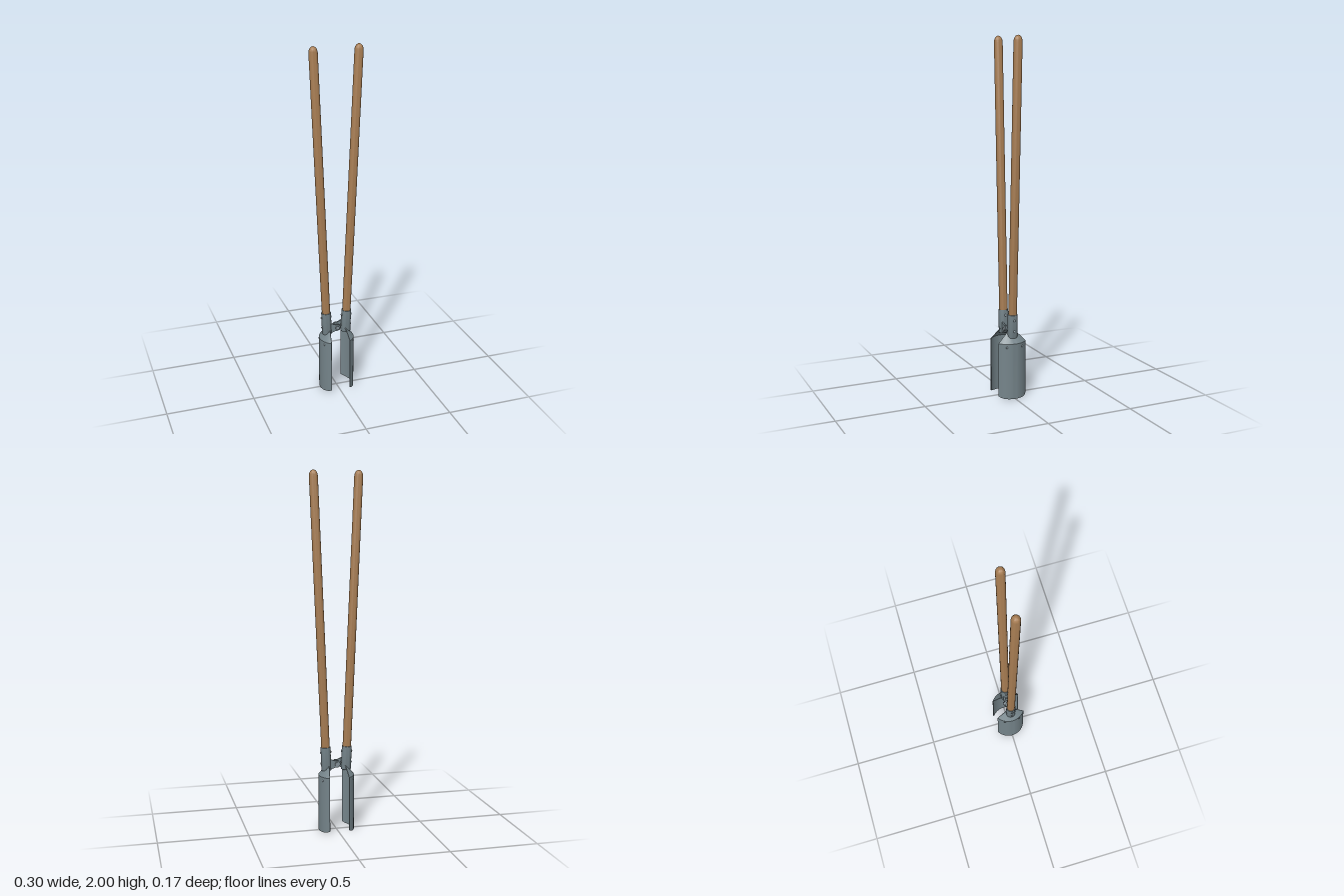
import * as THREE from 'three';
import { toCreasedNormals } from 'three/addons/utils/BufferGeometryUtils.js';

const wood = new THREE.MeshStandardMaterial({ color: 0xa67c52 });
wood.name = 'wood';
const steel = new THREE.MeshStandardMaterial({ color: 0x75848a });
steel.name = 'steel';
const boltSteel = new THREE.MeshStandardMaterial({ color: 0x859198 });
boltSteel.name = 'boltSteel';

function add(parent, name, geometry, material, x = 0, y = 0, z = 0) {
  const mesh = new THREE.Mesh(geometry, material);
  mesh.name = name;
  mesh.position.set(x, y, z);
  parent.add(mesh);
  return mesh;
}

function lathe(points, segments = 24) {
  const g = new THREE.LatheGeometry(points.map(([r, y]) => new THREE.Vector2(r, y)), segments);
  return toCreasedNormals(g, 0.6);
}

// Curved sheet: each row is an arc about the y axis { y, radius, half angle, lift at the corners }
function curvedSheet(rows, thickness, n = 20) {
  const loops = rows.map(({ y, r, half, lift }) => {
    const arc = (radius) => Array.from({ length: n + 1 }, (_, i) => {
      const t = (i / n) * 2 - 1, a = t * half;
      return [Math.cos(a) * radius, y + lift * t ** 4, Math.sin(a) * radius];
    });
    return [...arc(r), ...arc(r - thickness).reverse()];
  });
  const pos = loops.flat(2), index = [], m = 2 * (n + 1);
  const quad = (a, b, c, d) => index.push(a, b, c, a, c, d);
  for (let k = 0; k < rows.length - 1; k++) {
    for (let i = 0; i < m; i++) {
      const j = (i + 1) % m;
      quad(k * m + i, (k + 1) * m + i, (k + 1) * m + j, k * m + j);
    }
  }
  const top = (rows.length - 1) * m;
  for (let i = 0; i < n; i++) {
    const p = m - 1 - i;
    quad(i, i + 1, p - 1, p);
    quad(top + i, top + p, top + p - 1, top + i + 1);
  }
  const g = new THREE.BufferGeometry();
  g.setAttribute('position', new THREE.Float32BufferAttribute(pos, 3));
  g.setIndex(index);
  return toCreasedNormals(g, 0.5);
}

// Domed rivet whose axis points along +x, turned about y
function rivet(parent, name, x, y, z, turn, size = 0.006) {
  const g = new THREE.SphereGeometry(size, 12, 6, 0, Math.PI * 2, 0, Math.PI / 2);
  g.scale(1, 0.75, 1);
  g.rotateZ(-Math.PI / 2);
  g.rotateY(turn);
  add(parent, name, g, boltSteel, x, y, z);
}

function createHalf() {
  const half = new THREE.Group();

  // Blade with its tapering shoulder
  add(half, 'blade', curvedSheet([
    { y: 0, r: 0.1, half: 0.98, lift: 0.012 },
    { y: 0.318, r: 0.1, half: 0.98, lift: 0 },
    { y: 0.372, r: 0.056, half: 0.55, lift: 0 },
  ], 0.004), steel);
  for (const s of [-1, 1]) {
    rivet(half, 'bladeRivet', Math.cos(0.48) * 0.099, 0.298, -s * Math.sin(0.48) * 0.099, s * 0.48);
  }

  // Leaning shaft: socket and handle share one axis
  const shaft = new THREE.Group();
  shaft.name = 'shaft';
  shaft.position.set(0.056, 0.346, 0);
  shaft.rotation.z = -0.0425;
  half.add(shaft);

  add(shaft, 'socket', lathe([
    [0.0235, 0], [0.0275, 0], [0.0285, 0.004], [0.0275, 0.132], [0.0235, 0.132], [0.0235, 0],
  ]), steel);

  const profile = [[0, 0.03], [0.0235, 0.03], [0.024, 0.5], [0.024, 1.62]];
  for (let i = 1; i <= 6; i++) {
    const a = (i / 6) * Math.PI / 2;
    profile.push([i === 6 ? 0 : 0.024 * Math.cos(a), 1.62 + 0.035 * Math.sin(a)]);
  }
  add(shaft, 'handle', lathe(profile), wood);

  for (const y of [0.04, 0.102]) {
    rivet(shaft, 'socketRivet', 0.0275, y, 0, 0, 0.007);
    rivet(shaft, 'socketRivet', -0.0275, y, 0, Math.PI, 0.007);
  }

  // Hinge arm reaching past the pivot, on one side of the centre plane
  const arm = new THREE.Shape();
  arm.moveTo(0.05, 0.03);
  arm.lineTo(0.035, 0.03);
  arm.lineTo(0.008, 0.0185);
  arm.absarc(0, 0, 0.02, 1.17, -1.17 + Math.PI * 2, false);
  arm.lineTo(0.035, -0.028);
  arm.lineTo(0.05, -0.028);
  const armGeometry = new THREE.ExtrudeGeometry(arm, { depth: 0.009, bevelEnabled: false, curveSegments: 16 });
  add(half, 'hingeArm', toCreasedNormals(armGeometry, 0.5), steel, 0, 0.38, -0.0195);
  return half;
}

export function createModel() {
  const model = new THREE.Group();
  model.name = 'postHoleDigger';

  // Two identical halves, turned about the upright axis
  for (const side of ['left', 'right']) {
    const half = createHalf();
    half.name = side + 'Half';
    if (side === 'right') half.rotation.y = Math.PI;
    model.add(half);
  }

  // Pivot bolt with a head at each end
  const pin = new THREE.CylinderGeometry(0.007, 0.007, 0.05, 16).rotateX(Math.PI / 2);
  add(model, 'pivotPin', pin, boltSteel, 0, 0.38, 0);
  for (const s of [-1, 1]) {
    const head = new THREE.CylinderGeometry(0.012, 0.012, 0.008, 16).rotateX(Math.PI / 2);
    add(model, 'pivotHead', head, boltSteel, 0, 0.38, s * 0.0235);
  }
  return model;
}
